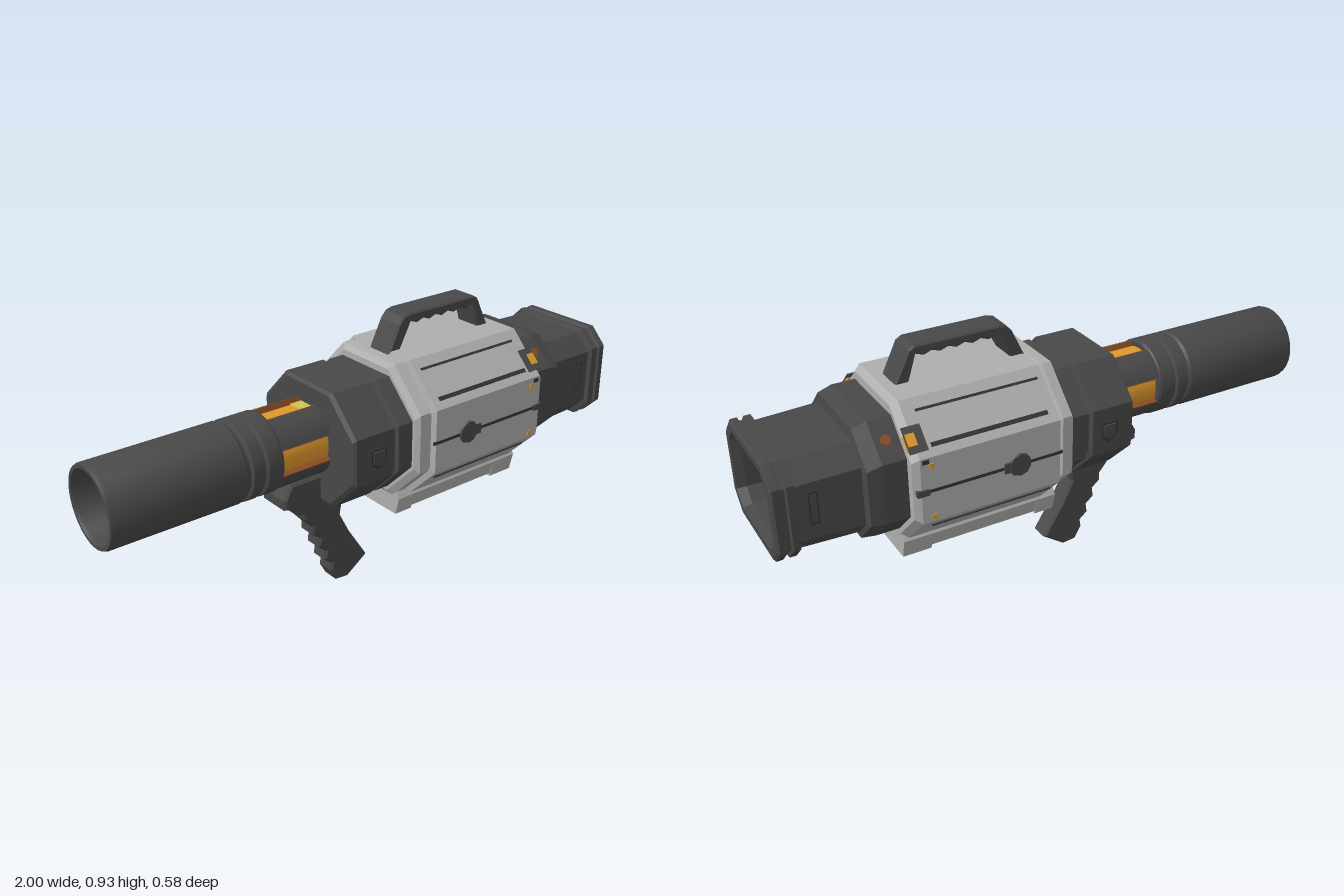
import * as THREE from 'three';
import { toCreasedNormals } from 'three/addons/utils/BufferGeometryUtils.js';

const paint = (name, color) => {
  const m = new THREE.MeshStandardMaterial({ color });
  m.name = name;
  return m;
};

export function createModel() {
  const root = new THREE.Group();
  root.name = 'launcher';
  const light = paint('light grey shell', 0xaeaeac);
  const dark = paint('dark grey metal', 0x484848);
  const black = paint('groove grey', 0x343434);
  const orange = paint('orange glow', 0xdf982c);
  const yellow = paint('yellow glow', 0xd2c250);
  const pale = paint('pale glow', 0xd6ca94);
  const brown = paint('burnt orange', 0x8a4c22);

  const add = (name, geo, mat) => {
    const mesh = new THREE.Mesh(geo, mat);
    mesh.name = name;
    root.add(mesh);
    return mesh;
  };
  const box = (name, mat, size, pos, rx = 0) => {
    const m = add(name, new THREE.BoxGeometry(...size), mat);
    m.position.set(...pos);
    m.rotation.x = rx;
    return m;
  };

  // Octagonal loft along x; each ring is [x, half width, bottom, top, chamfer]
  const loft = (name, mat, rings) => {
    const section = ([x, w, b, t, c]) => [
      [w, b + c], [w, t - c], [w - c, t], [c - w, t],
      [-w, t - c], [-w, b + c], [c - w, b], [w - c, b],
    ].map(([u, y]) => [x, y, -u]);
    const sec = rings.map(section);
    const pos = [];
    const tri = (...p) => p.forEach((v) => pos.push(...v));
    const mid = ([x, , b, t]) => [x, (b + t) / 2, 0];
    const end = sec[sec.length - 1];
    for (let j = 0; j < 8; j++) {
      const k = (j + 1) % 8;
      for (let i = 0; i + 1 < sec.length; i++) {
        const [a, b, c, d] = [sec[i][j], sec[i][k], sec[i + 1][k], sec[i + 1][j]];
        tri(a, b, d);
        tri(b, c, d);
      }
      tri(mid(rings[0]), sec[0][k], sec[0][j]);
      tri(mid(rings[rings.length - 1]), end[j], end[k]);
    }
    const geo = new THREE.BufferGeometry();
    geo.setAttribute('position', new THREE.Float32BufferAttribute(pos, 3));
    geo.computeVertexNormals();
    return add(name, geo, mat);
  };

  // Turned part along x; points are [radius, x]
  const turned = (name, mat, pts, seg = 32, start = 0, sweep = Math.PI * 2) => {
    const g = new THREE.LatheGeometry(pts.map((p) => new THREE.Vector2(...p)), seg, start, sweep);
    g.rotateZ(-Math.PI / 2);
    const m = add(name, toCreasedNormals(g, 0.5), mat);
    m.position.y = 0.585;
    return m;
  };

  // Side outline in x and y, extruded across z with a small bevel
  const plate = (name, mat, pts, depth, bevel = 0.008) => {
    const shape = new THREE.Shape(pts.map((p) => new THREE.Vector2(...p)));
    const g = new THREE.ExtrudeGeometry(shape, {
      depth: depth - 2 * bevel, bevelEnabled: true, bevelSegments: 1,
      bevelSize: bevel, bevelOffset: -bevel, bevelThickness: bevel,
    });
    g.translate(0, 0, bevel - depth / 2);
    return add(name, g, mat);
  };

  // Hollow rear tube with grooved rings
  turned('rearTube', dark, [
    [0, -0.55], [0.115, -0.55], [0.115, -0.99], [0.12, -1], [0.132, -1], [0.136, -0.99],
    [0.136, -0.545], [0.13, -0.535], [0.125, -0.535], [0.125, -0.525], [0.136, -0.52],
    [0.136, -0.485], [0.125, -0.48], [0.125, -0.47], [0.136, -0.465], [0.136, -0.415],
    [0.13, -0.405], [0, -0.405],
  ]);

  // Glowing chamber behind a cage of four curved bars
  turned('glowingCore', orange, [[0.112, -0.41], [0.112, -0.2]]);
  box('hotSpotTop', yellow, [0.045, 0.004, 0.06], [-0.245, 0.696, 0]);
  box('hotSpotRight', yellow, [0.04, 0.04, 0.004], [-0.25, 0.595, -0.111]);
  for (let q = 0; q < 4; q++) {
    const a = Math.PI / 4 + q * Math.PI / 2;
    turned('chamberBar', dark, [[0.108, -0.41], [0.132, -0.41], [0.132, -0.2], [0.108, -0.2]],
      8, a - 0.42, 0.84);
    for (const t of [a - 0.42, a + 0.42]) {
      box('barGlowEdge', brown, [0.2, 0.007, 0.022],
        [-0.305, 0.585 - 0.12 * Math.sin(t), 0.12 * Math.cos(t)], t);
    }
  }

  // Rear collar with a narrow groove
  loft('rearCollar', dark, [
    [-0.22, 0.235, 0.375, 0.76, 0.12], [-0.21, 0.245, 0.365, 0.77, 0.12],
    [-0.06, 0.245, 0.365, 0.77, 0.12], [-0.055, 0.228, 0.38, 0.755, 0.12],
    [-0.04, 0.228, 0.38, 0.755, 0.12], [-0.035, 0.242, 0.365, 0.768, 0.12],
    [0.03, 0.242, 0.365, 0.768, 0.12],
  ]);

  // Light octagonal shell
  loft('mainShell', light, [
    [0.022, 0.252, 0.345, 0.79, 0.135], [0.035, 0.268, 0.33, 0.808, 0.135],
    [0.07, 0.27, 0.33, 0.81, 0.135], [0.075, 0.262, 0.335, 0.8, 0.135],
    [0.085, 0.262, 0.335, 0.8, 0.135], [0.09, 0.283, 0.32, 0.815, 0.135],
    [0.57, 0.283, 0.32, 0.815, 0.135], [0.592, 0.268, 0.335, 0.8, 0.135],
  ]);

  // Belly block with raised end blocks
  for (const [name, x0, x1, b] of [['bellyPlate', 0.1, 0.49, 0.272],
    ['bellyRear', 0.035, 0.105, 0.262], ['bellyFront', 0.49, 0.59, 0.26]]) {
    const g = new THREE.ExtrudeGeometry(new THREE.Shape([[-0.15, b], [0.15, b], [0.166, 0.325],
      [0.145, 0.362], [-0.145, 0.362], [-0.166, 0.325]].map((p) => new THREE.Vector2(...p))),
    { depth: x1 - x0, bevelEnabled: false });
    g.rotateY(Math.PI / 2);
    g.translate(x0, 0, 0);
    add(name, g, light);
  }
  for (const x of [0.11, 0.478]) box('bellyGroove', black, [0.008, 0.004, 0.29], [x, 0.272, 0]);

  // Front collar and hollow muzzle
  loft('frontCollarAndMuzzle', dark, [
    [0.58, 0.24, 0.365, 0.77, 0.1], [0.67, 0.24, 0.365, 0.77, 0.1],
    [0.718, 0.235, 0.37, 0.757, 0.1], [0.722, 0.203, 0.4, 0.72, 0.06],
    [0.925, 0.198, 0.405, 0.715, 0.06], [0.93, 0.213, 0.392, 0.73, 0.06],
    [0.952, 0.213, 0.392, 0.73, 0.06], [0.956, 0.204, 0.4, 0.722, 0.06],
    [0.968, 0.204, 0.4, 0.722, 0.06], [0.972, 0.213, 0.392, 0.73, 0.06],
    [0.994, 0.213, 0.392, 0.73, 0.06], [1, 0.205, 0.4, 0.722, 0.06],
    [1, 0.178, 0.425, 0.697, 0.045], [0.97, 0.17, 0.432, 0.688, 0.042],
    [0.6, 0.168, 0.434, 0.684, 0.042],
  ]);

  // Glow at the bottom of the bore
  loft('boreGlow', orange, [[0.599, 0.167, 0.435, 0.682, 0.042], [0.604, 0.167, 0.435, 0.682, 0.042]]);
  for (const [name, mat, x, z, y, rz, ry] of [['warmGlow', yellow, 0.607, -0.03, 0.565, 0.09, 0.095],
    ['hotGlow', pale, 0.61, 0.045, 0.567, 0.08, 0.05]]) {
    const g = new THREE.CircleGeometry(1, 24).scale(rz, ry, 1).rotateY(Math.PI / 2);
    add(name, g, mat).position.set(x, y, z);
  }

  // Details on both sides
  for (const s of [1, -1]) {
    box('sideGroove', black, [0.48, 0.01, 0.006], [0.32, 0.565, s * 0.282]);
    box('sideClip', dark, [0.04, 0.02, 0.045], [0.565, 0.565, s * 0.267]);
    const knob = add('sideKnob', new THREE.CylinderGeometry(0.038, 0.042, 0.012, 10), dark);
    knob.position.set(0.235, 0.565, s * 0.284);
    knob.rotation.x = s * Math.PI / 2;
    box('knobTab', dark, [0.07, 0.035, 0.01], [0.255, 0.565, s * 0.284]);

    // fine grooves along the chamfers and top edges
    box('upperGroove', black, [0.4, 0.005, 0.014], [0.32, 0.705, s * 0.257], s * 0.785);
    box('lowerGroove', black, [0.42, 0.005, 0.008], [0.32, 0.424, s * 0.257], s * 2.356);
    box('topGroove', black, [0.42, 0.005, 0.008], [0.32, 0.786, s * 0.177], s * 0.785);

    // orange vents in the front rim
    box('ventFrame', dark, [0.06, 0.006, 0.085], [0.562, 0.726, s * 0.236], s * 0.785);
    box('ventGlow', orange, [0.03, 0.009, 0.04], [0.574, 0.726, s * 0.236], s * 0.785);
    box('ventFrontGlow', orange, [0.006, 0.028, 0.05], [0.588, 0.712, s * 0.231], s * 0.785);
    box('rimNotch', black, [0.022, 0.014, 0.006], [0.552, 0.668, s * 0.282]);
    for (const y of [0.65, 0.472]) box('rimLamp', orange, [0.014, 0.018, 0.006], [0.532, y, s * 0.283]);
    const spot = add('heatSpot', new THREE.CylinderGeometry(0.017, 0.017, 0.006, 12), brown);
    spot.position.set(0.635, 0.721, s * 0.19);
    spot.rotation.x = s * 0.785;

    // badge on the rear collar and slot on the muzzle
    const outline = [[-0.155, 0.6], [-0.09, 0.6], [-0.09, 0.545], [-0.122, 0.525], [-0.155, 0.545]];
    plate('collarBadgeRim', black, outline, 0.008, 0.002).position.z = s * 0.245;
    plate('collarBadge', dark, outline.map(([x, y]) => [-0.122 + (x + 0.122) * 0.75, 0.566 + (y - 0.566) * 0.75]),
      0.009, 0.002).position.z = s * 0.248;
    box('muzzleSlotRim', black, [0.03, 0.11, 0.006], [0.875, 0.57, s * 0.199]);
    box('muzzleSlot', dark, [0.02, 0.095, 0.009], [0.875, 0.57, s * 0.199]);
  }

  // Carrying handle with finger ridges underneath
  const under = [];
  for (let i = 0; i <= 10; i++) under.push([0.46 - i * 0.028, i % 2 ? 0.89 : 0.9]);
  plate('carryHandle', dark, [
    [0.08, 0.805], [0.125, 0.9], [0.145, 0.923], [0.17, 0.93], [0.465, 0.93], [0.485, 0.918],
    [0.54, 0.805], [0.49, 0.805], ...under, [0.13, 0.805],
  ], 0.1, 0.006);

  // Underside rail, bracket and grip
  plate('bracket', dark, [[-0.365, 0.41], [-0.335, 0.46], [-0.2, 0.46], [-0.2, 0.36], [-0.31, 0.36], [-0.365, 0.375]], 0.13);
  plate('gripRail', dark, [[-0.33, 0.37], [-0.3, 0.325], [0.04, 0.325], [0.04, 0.39], [-0.22, 0.39]], 0.1);
  plate('grip', dark, [
    [-0.275, 0.335], [-0.265, 0.29], [-0.235, 0.255], [-0.235, 0.225], [-0.205, 0.2], [-0.21, 0.165],
    [-0.18, 0.14], [-0.185, 0.105], [-0.155, 0.08], [-0.16, 0.05], [-0.135, 0.005], [-0.085, 0.0],
    [0, 0.06], [-0.075, 0.18], [-0.115, 0.26], [-0.1, 0.335],
  ], 0.075);

  return root;
}
